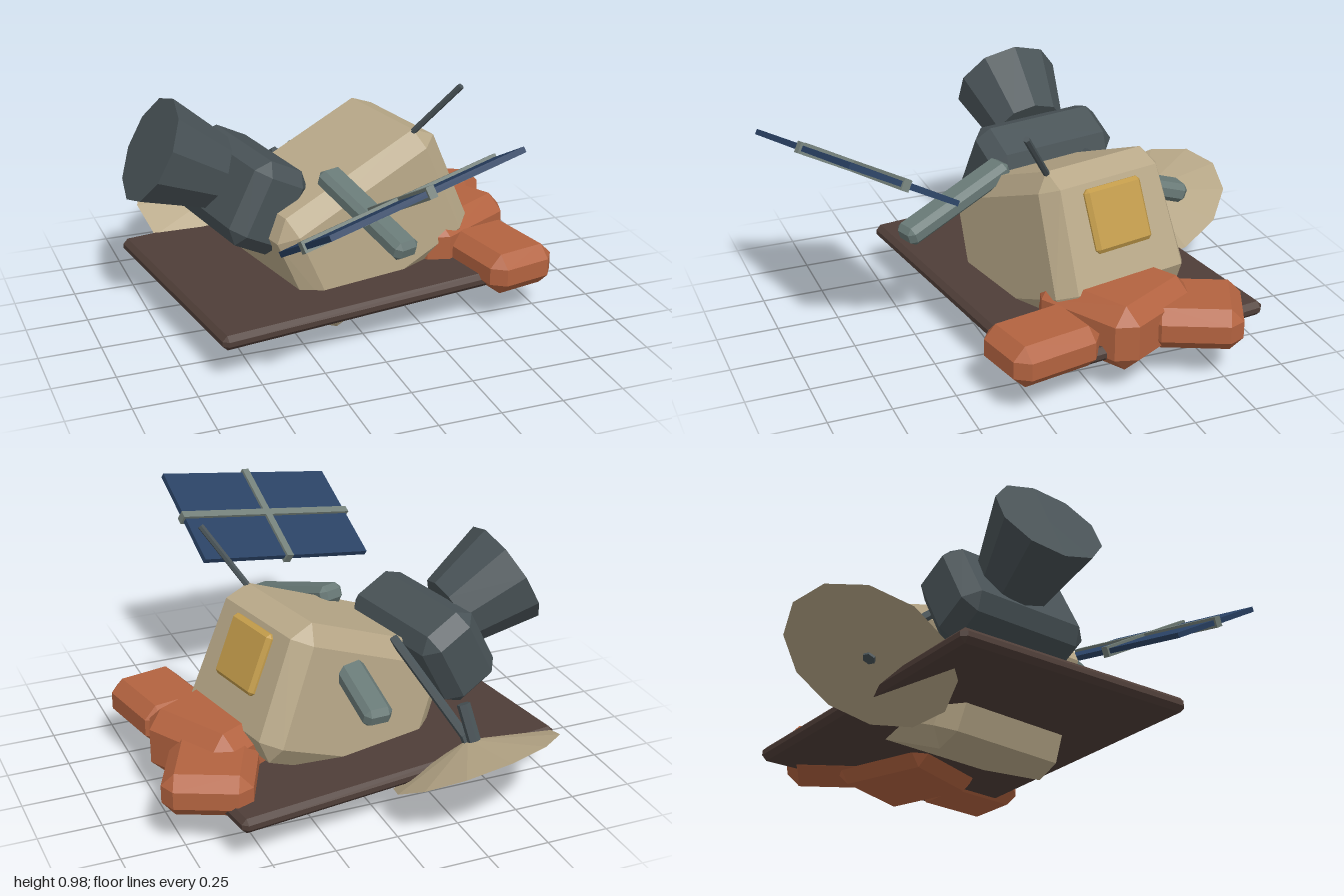
import * as THREE from 'three';
import { ConvexGeometry } from 'three/addons/geometries/ConvexGeometry.js';

const mat = (name, color) => {
  const m = new THREE.MeshStandardMaterial({ color, flatShading: true });
  m.name = name;
  return m;
};

// Box with chamfered edges and corners; taper narrows the depth towards the top
function chamferBox(w, h, d, bx, by = bx, bz = bx, taper = 0) {
  const pts = [];
  for (const sx of [-1, 1]) for (const sy of [-1, 1]) for (const sz of [-1, 1]) {
    for (let axis = 0; axis < 3; axis++) {
      const x = sx * (w / 2 - (axis === 0 ? 0 : bx));
      const y = sy * (h / 2 - (axis === 1 ? 0 : by));
      const z = sz * (d / 2 - (axis === 2 ? 0 : bz));
      pts.push(new THREE.Vector3(x, y, z * (1 - taper * y / h)));
    }
  }
  return new ConvexGeometry(pts);
}

export function createModel() {
  const root = new THREE.Group();
  root.name = 'crashedSatellite';

  const tan = mat('tan hull', 0xb8a888);
  const rust = mat('rust orange', 0xb36340);
  const brown = mat('dark brown', 0x4f3e38);
  const slate = mat('slate grey', 0x485256);
  const steel = mat('green grey steel', 0x687976);
  const gold = mat('gold', 0xc29b4a);
  const blue = mat('panel blue', 0x294163);
  const frameGrey = mat('frame grey', 0x74807a);

  const V = (x, y, z) => new THREE.Vector3(x, y, z);

  function add(parent, name, geometry, material, pos = [0, 0, 0], yaw = 0, pitch = 0) {
    const mesh = new THREE.Mesh(geometry, material);
    mesh.name = name;
    mesh.position.set(...pos);
    mesh.rotation.set(0, yaw, pitch, 'YZX');
    parent.add(mesh);
    return mesh;
  }

  // Round rod between two points
  function rod(name, a, b, r, material, sides = 6) {
    const mesh = add(root, name, new THREE.CylinderGeometry(r, r, a.distanceTo(b), sides), material);
    mesh.position.copy(a).add(b).multiplyScalar(0.5);
    mesh.quaternion.setFromUnitVectors(V(0, 1, 0), b.clone().sub(a).normalize());
  }

  // Chamfered beam between two points
  function beam(name, a, b, w, h, material) {
    const mesh = add(root, name, chamferBox(w, h, a.distanceTo(b), 0.022), material);
    mesh.position.copy(a).add(b).multiplyScalar(0.5);
    mesh.lookAt(b);
  }

  // Ground slab
  add(root, 'baseSlab', chamferBox(1.395, 0.06, 1.03, 0.02), brown, [-0.015, 0.172, -0.137], 0.14);

  // Tilted hull with a window on its raised end
  const hull = new THREE.Group();
  hull.name = 'hull';
  hull.position.set(0.057, 0.38, -0.127);
  hull.rotation.set(0, 0.21, 0.398, 'YZX');
  root.add(hull);
  add(hull, 'hullBody', chamferBox(0.79, 0.555, 0.58, 0.075, 0.075, 0.055, 0.12), tan);
  add(hull, 'window', chamferBox(0.05, 0.25, 0.26, 0.015), gold, [0.393, 0.055, 0]);

  // Engine block and flared nozzle
  add(root, 'engineBlock', chamferBox(0.26, 0.36, 0.58, 0.055), slate, [-0.365, 0.515, -0.172], 0.18, -0.49);
  const nozzle = new THREE.CylinderGeometry(0.22, 0.155, 0.28, 10);
  nozzle.rotateY(Math.PI / 10);
  nozzle.rotateZ(Math.PI / 2);
  add(root, 'nozzle', nozzle, slate, [-0.603, 0.666, -0.178], 0.03, -0.49);

  // Cluster of rust-coloured boulders
  add(root, 'middleBoulder', chamferBox(0.48, 0.27, 0.45, 0.065), rust, [0.475, 0.23, -0.155], 0.5);
  add(root, 'backBoulder', chamferBox(0.34, 0.17, 0.36, 0.05), rust, [0.62, 0.225, -0.43], -0.43);
  add(root, 'frontBoulder', chamferBox(0.3, 0.17, 0.38, 0.05), rust, [0.615, 0.218, 0.2], 0.2);

  // Side arms
  beam('frontArm', V(-0.09, 0.635, 0.08), V(0.065, 0.475, 0.55), 0.11, 0.08, steel);
  beam('backArm', V(0.05, 0.555, -0.36), V(0.037, 0.455, -0.655), 0.115, 0.08, steel);

  // Detached solar panel with cross bars
  const panel = new THREE.Group();
  panel.name = 'solarPanel';
  const u = V(0.79, 0.15, -0.16).normalize();
  const n = V(0.055, 0.24, 0.415).cross(u).normalize();
  panel.quaternion.setFromRotationMatrix(new THREE.Matrix4().makeBasis(u, n, u.clone().cross(n)));
  panel.position.set(-0.035, 0.757, 0.707);
  root.add(panel);
  add(panel, 'panelSheet', new THREE.BoxGeometry(0.82, 0.022, 0.48), blue);
  add(panel, 'longBar', new THREE.BoxGeometry(0.84, 0.045, 0.032), frameGrey);
  add(panel, 'crossBar', new THREE.BoxGeometry(0.032, 0.045, 0.5), frameGrey);

  // Fallen dish, apex up, with its hub, stub and boom
  const axis = V(0.18, 0.868, 0.46).normalize();
  const dish = add(root, 'dish', new THREE.ConeGeometry(0.335, 0.09, 12), tan);
  dish.quaternion.setFromUnitVectors(V(0, 1, 0), axis);
  dish.position.set(-0.343, 0.22, -0.7).addScaledVector(axis, 0.045);
  const apex = V(-0.343, 0.22, -0.7).addScaledVector(axis, 0.09);
  rod('dishHub', apex.clone().addScaledVector(axis, -0.1), apex.clone().addScaledVector(axis, 0.02), 0.025, slate);
  rod('dishStub', V(-0.335, 0.31, -0.695), V(-0.312, 0.445, -0.64), 0.026, slate);
  rod('dishBoom', apex, V(-0.17, 0.6, -0.31), 0.019, slate);

  // Whip antenna
  rod('antenna', V(0.27, 0.72, 0.03), V(0.428, 0.968, 0.187), 0.013, slate);

  return root;
}
